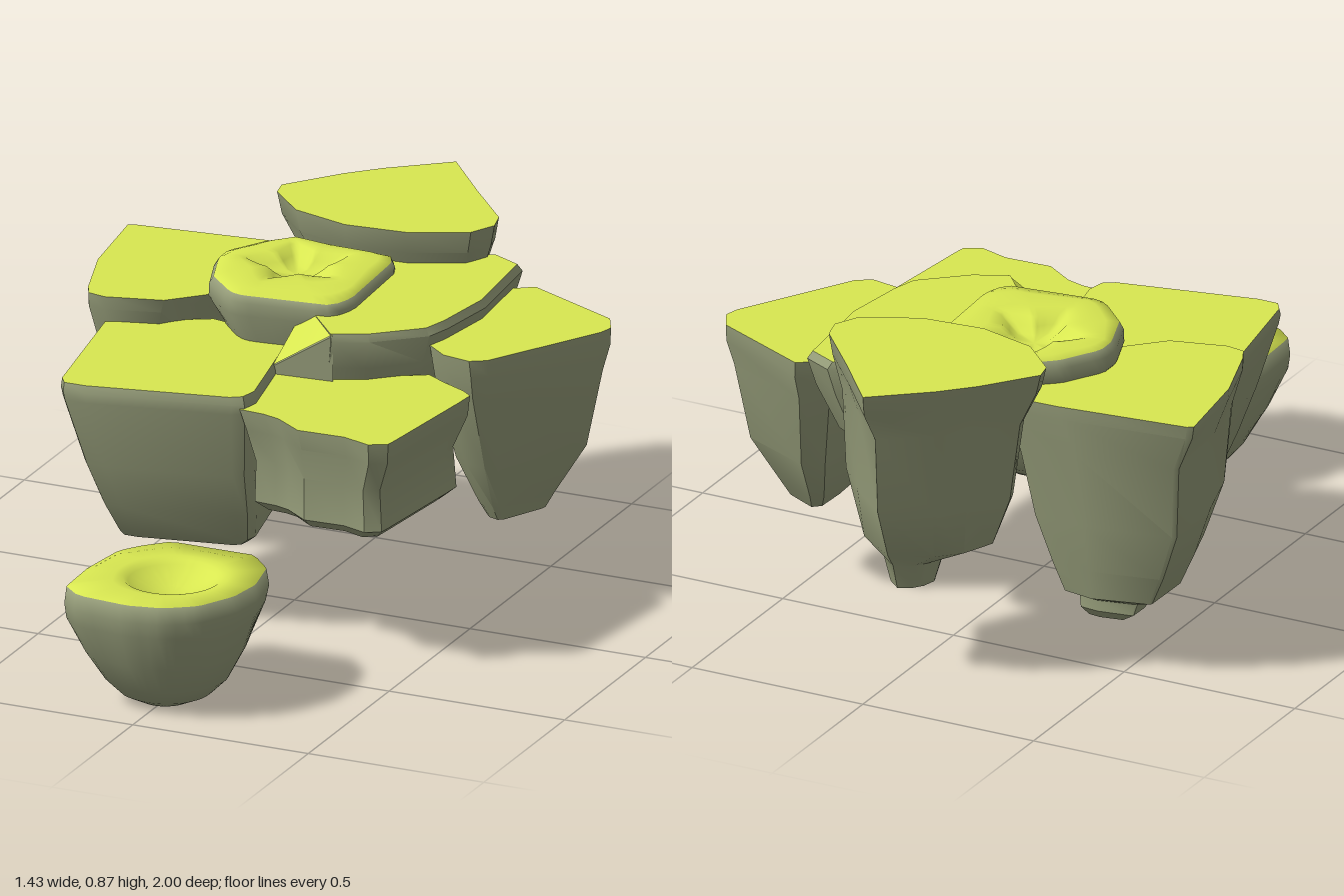
import * as THREE from 'three';
import { toCreasedNormals } from 'three/addons/utils/BufferGeometryUtils.js';
import { ConvexGeometry } from 'three/addons/geometries/ConvexGeometry.js';

const grass = new THREE.MeshStandardMaterial({ color: 0xd8e751 });
grass.name = 'grass';
const stone = new THREE.MeshStandardMaterial({ color: 0x959c79 });
stone.name = 'stone';

// Outlines are [x, z] points, always walked in the same direction
function toPoints(outline) {
  const pts = outline.map(([x, z]) => new THREE.Vector2(x, z));
  return THREE.ShapeUtils.area(pts) < 0 ? pts.reverse() : pts;
}

// Point where a ray from the centre at angle a leaves the outline
function rayHit(pts, centre, a) {
  const d = new THREE.Vector2(Math.cos(a), Math.sin(a));
  for (let i = 0; i < pts.length; i++) {
    const p = pts[i].clone().sub(centre), e = pts[(i + 1) % pts.length].clone().sub(pts[i]);
    const t = p.cross(e) / d.cross(e), s = p.cross(d) / d.cross(e);
    if (t > 0 && s >= 0 && s <= 1) return d.multiplyScalar(t).add(centre);
  }
  return centre.clone();
}

// Fits an outline into the box [x0, x1, z0, z1] at height y; round pulls corners to an ellipse
function fitRing(pts, [y, x0, x1, z0, z1, round = 0]) {
  const b = new THREE.Box2().setFromPoints(pts);
  const c = b.getCenter(new THREE.Vector2()), s = b.getSize(new THREE.Vector2());
  return pts.map((p) => {
    let u = (p.x - c.x) / s.x * 2, v = (p.y - c.y) / s.y * 2;
    const k = 1 - round + round / (Math.hypot(u, v) || 1);
    u *= k;
    v *= k;
    return [(x0 + x1) / 2 + u * (x1 - x0) / 2, y, (z0 + z1) / 2 + v * (z1 - z0) / 2];
  });
}

// Skins rings of equal length and closes the last one
function skin(rings, crease) {
  const n = rings[0].length, index = [];
  const pos = rings.flat(2);
  for (let r = 0; r < rings.length - 1; r++) {
    for (let i = 0; i < n; i++) {
      const j = (i + 1) % n, a = r * n, b = a + n;
      index.push(a + i, a + j, b + i, a + j, b + j, b + i);
    }
  }
  const last = rings[rings.length - 1], base = (rings.length - 1) * n;
  pos.push(...[0, 1, 2].map((k) => last.reduce((t, p) => t + p[k], 0) / n));
  for (let i = 0; i < n; i++) index.push(base + i, base + (i + 1) % n, base + n);
  const g = new THREE.BufferGeometry();
  g.setAttribute('position', new THREE.Float32BufferAttribute(pos, 3));
  g.setIndex(index);
  return toCreasedNormals(g, crease);
}

function addMesh(parent, name, geometry, material) {
  const m = new THREE.Mesh(geometry, material);
  m.name = name;
  parent.add(m);
}

// Flat-topped rock with a grass cap
function island(name, outline, sections) {
  const g = new THREE.Group();
  g.name = name;
  const rings = sections.map((s) => fitRing(toPoints(outline), s));
  addMesh(g, 'rock', skin(rings, 0.65), stone);
  const shape = new THREE.Shape(rings[0].map(([x, , z]) => new THREE.Vector2(x, -z)));
  const cap = new THREE.ShapeGeometry(shape).rotateX(-Math.PI / 2).translate(0, sections[0][0], 0);
  addMesh(g, 'grassTop', cap, grass);
  return g;
}

// Smooth rock whose grass top has a hollow; profile steps are [s, y]:
// s 0..1 scales the hollow, s 1..2 spreads it out to the rim
const STAR_TIP = THREE.MathUtils.degToRad(171), STEPS = 60;
function hollowIsland(name, outline, sections, [cx, cz], radius, profile) {
  const angles = Array.from({ length: STEPS }, (_, i) => STAR_TIP + i / STEPS * Math.PI * 2);
  const edge = angles.map((a) => rayHit(toPoints(outline), new THREE.Vector2(cx, cz), a));
  const rock = sections.map((s) => fitRing(edge, s));
  const top = profile.map(([s, y]) => rock[0].map(([x, , z], i) => {
    const r = radius(angles[i]) * Math.min(s, 1), t = Math.max(s - 1, 0);
    const hx = cx + r * Math.cos(angles[i]), hz = cz + r * Math.sin(angles[i]);
    return [hx + (x - hx) * t, y, hz + (z - hz) * t];
  }));
  const geo = skin([...top, ...rock], 1.7);
  const split = top.length * STEPS * 6;
  geo.addGroup(0, split, 0);
  geo.addGroup(split, Infinity, 1);
  const m = new THREE.Mesh(geo, [grass, stone]);
  m.name = name;
  return m;
}

export function createModel() {
  const model = new THREE.Group();
  model.name = 'floatingIslands';

  model.add(island('backIsland', [
    [0, -1], [0.14, -0.83], [0.27, -0.68], [0.285, -0.62], [0.25, -0.55], [0.1, -0.48], [-0.07, -0.465],
    [-0.23, -0.51], [-0.33, -0.61], [-0.34, -0.66], [-0.23, -0.8], [-0.15, -0.88],
  ], [
    [0.868, -0.34, 0.285, -1, -0.463], [0.81, -0.325, 0.275, -0.99, -0.465], [0.72, -0.285, 0.24, -0.93, -0.52],
    [0.51, -0.265, 0.22, -0.92, -0.55, 0.15], [0.36, -0.2, 0.18, -0.85, -0.54, 0.5],
    [0.32, -0.08, 0.08, -0.82, -0.65, 0.6], [0.25, -0.06, 0.06, -0.8, -0.67, 0.6],
  ]));

  model.add(island('rightBackIsland', [
    [-0.715, -0.52], [-0.7, -0.53], [-0.34, -0.57], [-0.12, -0.575], [-0.1, -0.42], [-0.31, -0.15], [-0.4, -0.06],
    [-0.55, -0.02], [-0.6, -0.03], [-0.62, -0.07], [-0.68, -0.26],
  ], [
    [0.745, -0.715, -0.1, -0.575, -0.02], [0.71, -0.71, -0.12, -0.575, -0.02], [0.61, -0.665, -0.21, -0.56, -0.04],
    [0.41, -0.66, -0.24, -0.55, -0.08, 0.15], [0.28, -0.62, -0.28, -0.54, -0.14, 0.3],
    [0.2, -0.585, -0.31, -0.53, -0.18, 0.4], [0.18, -0.53, -0.34, -0.49, -0.3, 0.5],
    [0.15, -0.52, -0.35, -0.49, -0.35, 0.4], [0.125, -0.48, -0.37, -0.47, -0.37, 0.4],
  ]));

  model.add(island('leftBackIsland', [
    [0.34, -0.55], [0.41, -0.6], [0.68, -0.47], [0.71, -0.41], [0.7, -0.37], [0.52, -0.06], [0.48, -0.035],
    [0.4, -0.05], [0.34, -0.1], [0.335, -0.3],
  ], [
    [0.725, 0.335, 0.713, -0.6, -0.035], [0.68, 0.34, 0.712, -0.595, -0.04], [0.61, 0.345, 0.695, -0.57, -0.06],
    [0.4, 0.38, 0.655, -0.52, -0.12], [0.27, 0.42, 0.58, -0.44, -0.18, 0.2], [0.23, 0.44, 0.56, -0.41, -0.2, 0.2],
  ]));

  model.add(island('rightFrontIsland', [
    [-0.55, -0.02], [-0.48, 0.4], [-0.46, 0.43], [-0.4, 0.43], [-0.02, 0.35], [0.01, 0.33], [0.02, 0.28],
    [-0.05, -0.07], [-0.1, -0.12], [-0.3, -0.16],
  ], [
    [0.675, -0.55, 0.012, -0.16, 0.422], [0.655, -0.55, 0.02, -0.16, 0.432], [0.63, -0.545, 0.02, -0.16, 0.43],
    [0.45, -0.485, 0.01, -0.11, 0.4], [0.33, -0.445, 0.005, -0.09, 0.36],
    [0.25, -0.415, -0.01, -0.08, 0.32], [0.225, -0.41, -0.04, -0.07, 0.29],
  ]));

  model.add(island('leftFrontIsland', [
    [-0.03, 0.07], [0.13, 0.03], [0.34, -0.095], [0.4, -0.06], [0.47, -0.025], [0.5, 0], [0.495, 0.06], [0.46, 0.38],
    [0.455, 0.41], [0.41, 0.435], [0.33, 0.41], [0.2, 0.415], [0.12, 0.36], [0.07, 0.345], [0, 0.34],
  ], [
    [0.645, -0.03, 0.5, -0.095, 0.435], [0.59, -0.01, 0.495, -0.09, 0.43], [0.5, 0.01, 0.455, -0.08, 0.4],
    [0.39, 0.01, 0.465, -0.08, 0.41], [0.36, 0.04, 0.43, -0.07, 0.37],
  ]));

  // Middle plateau with a small ramp at its front corner
  const plateau = island('plateauIsland', [
    [-0.02, -0.12], [0.13, 0.055], [0.22, 0.015], [0.34, -0.09], [0.36, -0.16], [0.385, -0.34], [0.36, -0.62],
    [0.28, -0.66], [0.1, -0.6], [-0.1, -0.5], [-0.12, -0.3],
  ], [
    [0.775, -0.12, 0.378, -0.65, 0.053], [0.755, -0.12, 0.39, -0.66, 0.06], [0.68, -0.12, 0.37, -0.645, 0.055],
    [0.55, -0.1, 0.33, -0.61, 0.02, 0.2], [0.49, -0.06, 0.26, -0.5, -0.07, 0.4],
  ]);
  const ramp = [[-0.03, 0.67, 0.068], [0.135, 0.775, 0.055], [-0.02, 0.775, -0.12], [-0.065, 0.67, -0.08]];
  const wedge = [0.004, 0.16].flatMap((d) => ramp.map(([x, y, z]) => new THREE.Vector3(x, y - d, z)));
  addMesh(plateau, 'rampRock', new ConvexGeometry(wedge), stone);
  const slope = new THREE.BufferGeometry();
  slope.setAttribute('position', new THREE.Float32BufferAttribute(ramp.flat(), 3));
  slope.setIndex([0, 1, 2, 0, 2, 3]);
  slope.computeVertexNormals();
  addMesh(plateau, 'rampGrass', slope, grass);
  model.add(plateau);

  // Highest middle rock with a star-shaped hollow
  const starRadius = (a) => {
    const rel = (a - STAR_TIP) / (Math.PI * 0.4);
    const k = Math.abs(rel - Math.round(rel)) * 2;
    return 0.085 / (k + (1 - k) * 0.6);
  };
  model.add(hollowIsland('starIsland', [
    [-0.22, -0.48], [0.07, -0.46], [0.09, -0.42], [0.105, -0.13], [0.08, -0.06], [-0.17, -0.03], [-0.21, -0.04],
    [-0.3, -0.13], [-0.345, -0.26], [-0.345, -0.32], [-0.28, -0.43],
  ], [
    [0.805, -0.335, 0.1, -0.472, -0.036], [0.785, -0.348, 0.107, -0.48, -0.03], [0.75, -0.35, 0.107, -0.48, -0.03],
    [0.68, -0.3, 0.08, -0.47, -0.05, 0.2], [0.54, -0.27, 0.06, -0.45, -0.08, 0.4],
    [0.45, -0.23, 0.02, -0.39, -0.13, 0.6], [0.405, -0.17, -0.04, -0.32, -0.18, 0.7],
  ], [-0.13, -0.3], starRadius, [[0, 0.775], [0.5, 0.777], [0.75, 0.792], [1, 0.811], [1.3, 0.815], [1.75, 0.813]]));

  // Separate front rock with a round hollow
  model.add(hollowIsland('frontIsland', [
    [-0.11, 0.515], [0.13, 0.515], [0.2, 0.59], [0.225, 0.715], [0.21, 0.82], [0.155, 0.925], [0.075, 0.98],
    [-0.02, 1], [-0.17, 0.985], [-0.225, 0.935], [-0.23, 0.79], [-0.21, 0.635], [-0.17, 0.575],
  ], [
    [0.326, -0.225, 0.22, 0.525, 0.995], [0.28, -0.23, 0.225, 0.515, 1], [0.24, -0.225, 0.22, 0.53, 0.995],
    [0.14, -0.195, 0.19, 0.57, 0.96, 0.3], [0.06, -0.155, 0.15, 0.615, 0.92, 0.5],
    [0.02, -0.12, 0.11, 0.655, 0.885, 0.6], [0, -0.075, 0.065, 0.69, 0.85, 0.7],
  ], [0, 0.755], () => 0.128, [[0, 0.278], [0.35, 0.283], [0.7, 0.3], [0.9, 0.316], [1, 0.325], [1.2, 0.328]]));

  return model;
}
